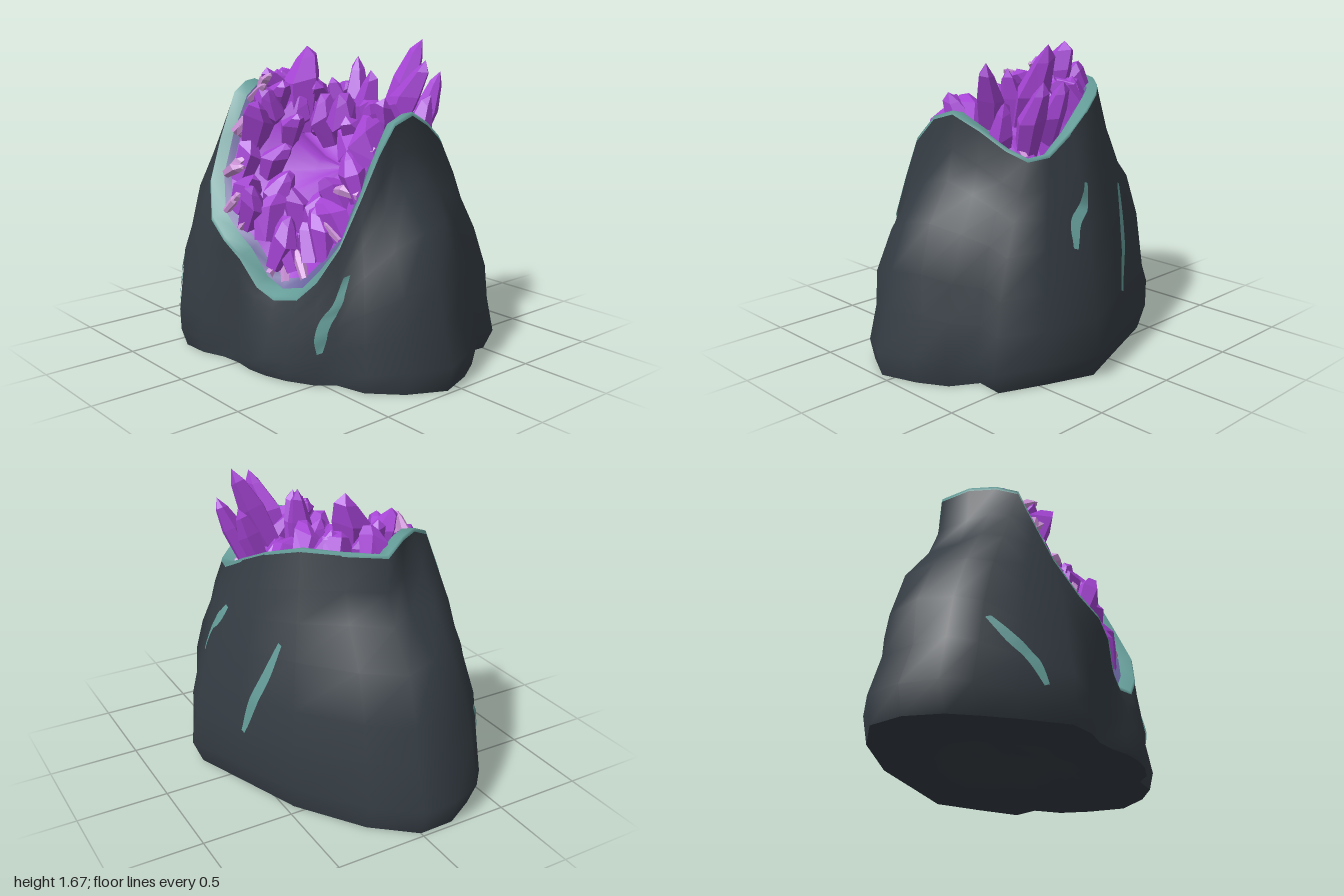
import * as THREE from 'three';

const material = (name, color, side = THREE.FrontSide) => {
  const m = new THREE.MeshStandardMaterial({ color, side });
  m.name = name;
  return m;
};
const V = (x, y, z) => new THREE.Vector3(x, y, z);

// One entry per column round the rock: rim x, y, z, then base x, z
const columns = [
  [-.57, 1.38, .02, -1, 0], [-.5, 1.43, .15, -1, .2], [-.42, 1.43, .27, -.93, .38],
  [-.37, 1.38, .38, -.82, .48], [-.36, 1.15, .48, -.65, .6], [-.33, .93, .57, -.41, .74],
  [-.22, .75, .64, -.25, .72], [-.08, .67, .66, -.12, .66], [.03, .59, .64, 0, .65],
  [.12, .45, .6, .12, .67], [.22, .4, .57, .24, .66], [.37, .43, .54, .36, .62],
  [.48, .54, .5, .5, .54], [.57, .72, .43, .57, .45], [.59, .95, .31, .75, .42],
  [.6, 1.16, .2, .9, .27], [.58, 1.29, .08, 1, .07], [.57, 1.33, -.05, .93, -.13],
  [.53, 1.26, -.2, .85, -.28], [.48, 1.17, -.34, .71, -.36], [.42, 1.12, -.43, .75, -.52],
  [.3, 1.13, -.46, .5, -.63], [.12, 1.22, -.44, .23, -.745], [-.05, 1.3, -.39, -.1, -.62],
  [-.24, 1.36, -.29, -.48, -.48], [-.42, 1.37, -.14, -.82, -.22],
];
const N = columns.length;
const rim = columns.map(c => V(c[0], c[1], c[2]));
const base = columns.map(c => V(c[3], 0, c[4]));
const heart = V(.1, .98, -.02);   // where the sides of the hollow meet

// Skin a list of closed rings with smooth normals
function loft(rings) {
  const pos = [], idx = [];
  rings.forEach(ring => ring.forEach(p => pos.push(p.x, p.y, p.z)));
  for (let r = 0; r < rings.length - 1; r++) {
    for (let i = 0; i < N; i++) {
      const a = r * N + i, b = r * N + (i + 1) % N;
      idx.push(a, b, b + N, a, b + N, a + N);
    }
  }
  const g = new THREE.BufferGeometry();
  g.setAttribute('position', new THREE.Float32BufferAttribute(pos, 3));
  g.setIndex(idx);
  g.computeVertexNormals();
  return g;
}

// Rock wall rows: height share, then lean from base to rim at the sides and at front and back
const wallRows = [[0, .06, .16], [.1, 0, 0], [.26, .17, .08], [.42, .22, .2],
  [.6, .46, .4], [.74, .82, .58], [.86, .97, .76], [1, 1, 1]];
const wallRing = ([t, side, end], r) => rim.map((p, i) => {
  const w = THREE.MathUtils.clamp((Math.abs(base[i].z) - .2) / .35, 0, 1);
  const q = base[i].clone().lerp(p, side + (end - side) * w);
  const bump = r > 1 && r < 6 ? 1 + .014 * Math.sin(i * 2.3 + r * 1.7) : 1;
  return V(q.x * bump, p.y * t, q.z * bump);
});
const baseRing = (k, y) => base.map(p => V(p.x * k, y, p.z * k));

// Point inside the hollow, v = 0 at the lip and 1 at the heart
function hollow(i, v) {
  const p = rim[i], d = V(heart.x - p.x, 0, heart.z - p.z).normalize();
  const lift = p.z > .45 ? .03 : -.012;
  const lip = V(p.x + d.x * .07, p.y + lift, p.z + d.z * .07);
  const q = lip.clone().lerp(heart, v);
  q.y = heart.y + (lip.y - heart.y) * Math.pow(1 - v, 1.5);
  return q;
}
const hollowRing = v => rim.map((p, i) => hollow(i, v));

// Small seeded generator
let seed = 11;
const rnd = () => (seed = (seed * 16807) % 2147483647) / 2147483647;

// Chunky faceted crystal with a slanted, off-centre point
function crystal(from, to, radius, mat, name) {
  const len = from.distanceTo(to), sides = rnd() < .6 ? 5 : 6;
  const profile = [[.7 * radius, 0], [radius, len * .62], [.55 * radius, len * .88], [0, len]]
    .map(p => new THREE.Vector2(...p));
  let g = new THREE.LatheGeometry(profile, sides);
  const a = g.attributes.position;
  for (let i = 0; i < a.count; i++) {
    const y = a.getY(i) / len, x = a.getX(i);
    if (y > .5 && y < .95) a.setY(i, a.getY(i) + x * .35);
    if (y > .8) a.setX(i, x + radius * .35);
    a.setZ(i, a.getZ(i) * .85);
  }
  g = g.toNonIndexed();
  g.computeVertexNormals();
  g.rotateY(rnd() * Math.PI * 2);
  const m = new THREE.Mesh(g, mat);
  m.name = name;
  m.position.copy(from);
  m.quaternion.setFromUnitVectors(V(0, 1, 0), to.clone().sub(from).normalize());
  return m;
}

export function createModel() {
  const model = new THREE.Group();
  model.name = 'geode';
  const rock = material('dark rock', 0x343c43);
  const teal = material('teal mineral', 0x649c98, THREE.DoubleSide);
  const dusk = material('dusky lining', 0x6a659f);
  const purple = material('purple crystal', 0xa544d4);
  const pale = material('pale crystal', 0xca90d5);
  const add = (g, mat, name) => {
    const m = new THREE.Mesh(g, mat);
    m.name = name;
    model.add(m);
    return m;
  };

  // Rock body, dented underside, rim and hollow
  const wall = add(loft(wallRows.map(wallRing)), rock, 'rockWall');
  add(loft([baseRing(0, .14), baseRing(.3, .13), baseRing(.55, 0), wallRing(wallRows[0], 0)]), rock, 'underside');
  add(loft([rim.map(p => V(p.x * 1.01, p.y - .014, p.z * 1.01)),
    rim.map(p => V(p.x, p.y + .006, p.z)), hollowRing(0)]), teal, 'rim');
  add(loft([hollowRing(0), hollowRing(.06)]), dusk, 'innerLining');
  add(loft([.06, .3, .5, .75, 1].map(hollowRing)), purple, 'hollowFloor');

  // Mineral veins laid on the rock: points x, y seen along z
  const ray = new THREE.Raycaster();
  const onRock = (x, y, side) => {
    ray.set(V(x, y, 3 * side), V(0, 0, -side));
    const hit = ray.intersectObject(wall)[0];
    return hit ? hit.point.addScaledVector(hit.face.normal, .008) : null;
  };
  const veins = [
    [1, [[-.72, .49], [-.65, .38], [-.57, .27], [-.53, .16]]],
    [1, [[.6, .57], [.575, .44], [.53, .33], [.515, .17]]],
    [-1, [[.12, .97], [.17, .88], [.24, .79], [.27, .67]]],
    [-1, [[-.27, .88], [-.23, .7], [-.17, .5], [-.13, .34]]],
  ];
  veins.forEach(([side, pts]) => {
    const curve = new THREE.CatmullRomCurve3(pts.map(p => V(p[0], p[1], 0)));
    const pos = [], idx = [], steps = 20;
    let rows = 0;
    for (let k = 0; k <= steps; k++) {
      const p = curve.getPoint(k / steps), w = .011 + .014 * Math.sin(Math.PI * k / steps);
      const pair = [onRock(p.x - w, p.y - w * .4, side), onRock(p.x + w, p.y + w * .4, side)];
      if (!pair[0] || !pair[1]) continue;
      pair.forEach(q => pos.push(q.x, q.y, q.z));
      if (rows++) { const b = rows * 2 - 4; idx.push(b, b + 1, b + 2, b + 1, b + 3, b + 2); }
    }
    const g = new THREE.BufferGeometry();
    g.setAttribute('position', new THREE.Float32BufferAttribute(pos, 3));
    g.setIndex(side > 0 ? idx : idx.reverse());
    g.computeVertexNormals();
    add(g, teal, 'vein');
  });

  // Large crystals: root, tip, radius
  [
    [.2, 1.05, -.14, .3, 1.67, -.41, .09], [.33, 1.05, -.06, .47, 1.59, -.21, .085],
    [.3, 1.0, -.27, .38, 1.5, -.46, .075], [.16, 1.05, -.27, .2, 1.48, -.43, .075],
    [-.19, 1.15, .06, -.25, 1.63, 0, .12], [-.28, 1.15, .02, -.36, 1.5, .06, .085],
    [.06, 1.05, -.12, .07, 1.58, -.13, .08], [-.04, 1.1, -.18, -.12, 1.46, -.12, .08],
    [.17, 1.05, -.1, .2, 1.52, -.07, .08], [.38, 1.08, 0, .5, 1.41, .04, .085],
    [.36, 1.0, -.17, .48, 1.38, -.31, .075], [.1, 1.1, -.06, .14, 1.38, .1, .1],
    [.26, 1.05, -.05, .28, 1.32, .12, .1], [-.03, 1.1, -.03, -.05, 1.37, .07, .09],
    [-.18, 1.15, -.15, -.24, 1.44, -.14, .08],
  ].forEach(c => model.add(crystal(V(c[0], c[1], c[2]), V(c[3], c[4], c[5]), c[6], purple, 'largeCrystal')));

  // Short crystals lining the hollow, leaving its middle bare
  [[.15, 1], [.38, 2]].forEach(([v, step], row) => {
    for (let i = row; i < N; i += step) {
      const from = hollow(i, v + (rnd() - .5) * .1);
      const inward = heart.clone().sub(from).setY(0).normalize();
      const dir = V(inward.x * .4 + (rnd() - .5) * .6, .65 + (rnd() - .5) * .4,
        inward.z * .4 + .3 + (rnd() - .5) * .3).normalize();
      const len = .22 + rnd() * .08;
      from.addScaledVector(dir, -.05);
      model.add(crystal(from, from.clone().addScaledVector(dir, len), .075 + rnd() * .035, purple, 'shortCrystal'));
    }
  });

  // Pale slivers just inside the lip, thickest along the left of the opening
  [2, 3, 4, 4, 4, 4, 5, 5, 5, 6, 6, 7, 9, 10, 11, 13, 14, 15, 20].forEach(i => {
    const from = hollow(i, rnd() * .05);
    const dir = heart.clone().sub(from).setY(0).normalize().multiplyScalar(.65)
      .add(V((rnd() - .5) * .3, .1 + rnd() * .4, .35 + (rnd() - .5) * .3)).normalize();
    model.add(crystal(from, from.clone().addScaledVector(dir, .13 + rnd() * .06), .028 + rnd() * .012, pale, 'paleCrystal'));
  });
  return model;
}
